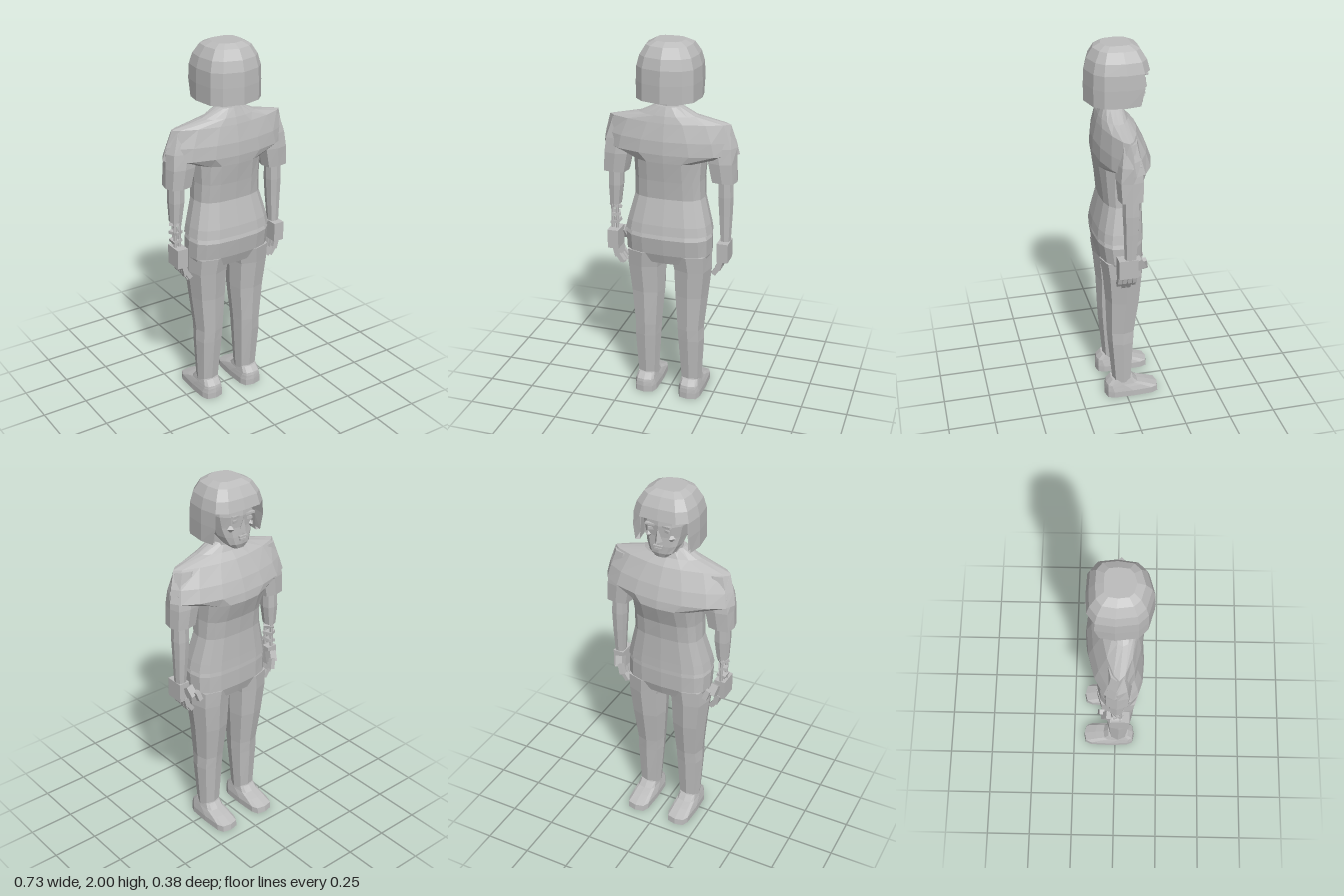
import * as THREE from 'three';

const grey = new THREE.MeshStandardMaterial({ color: 0xbcbcbc, flatShading: true, side: THREE.DoubleSide });
grey.name = 'grey';

function add(parent, name, geometry, x = 0, y = 0, z = 0, rx = 0, ry = 0, rz = 0) {
  const m = new THREE.Mesh(geometry, grey);
  m.name = name;
  m.position.set(x, y, z);
  m.rotation.set(rx, ry, rz);
  parent.add(m);
  return m;
}

// Rounded (p < 1) or pointed (p > 1) cross-section at height y
function ring(y, cx, hx, zMin, zMax, p = 0.7, n = 12) {
  const zm = (zMin + zMax) / 2, hz = (zMax - zMin) / 2, pts = [];
  for (let i = 0; i < n; i++) {
    const a = (i / n) * Math.PI * 2, c = Math.cos(a), s = Math.sin(a);
    pts.push([cx + hx * Math.sign(c) * Math.abs(c) ** p, y, zm + hz * Math.sign(s) * Math.abs(s) ** p]);
  }
  return pts;
}

// Faceted skin over rising rings; closed rings get end caps
function loft(rings, closed = true) {
  const v = [], n = rings[0].length;
  for (let i = 0; i < rings.length - 1; i++) {
    for (let j = 0; j < (closed ? n : n - 1); j++) {
      const k = (j + 1) % n, a = rings[i][j], b = rings[i + 1][j], c = rings[i][k], d = rings[i + 1][k];
      v.push(...a, ...b, ...c, ...c, ...b, ...d);
    }
  }
  if (closed) {
    const lo = rings[0], hi = rings[rings.length - 1];
    for (let j = 1; j < n - 1; j++) {
      v.push(...lo[0], ...lo[j], ...lo[j + 1], ...hi[0], ...hi[j + 1], ...hi[j]);
    }
  }
  const g = new THREE.BufferGeometry();
  g.setAttribute('position', new THREE.Float32BufferAttribute(v, 3));
  g.computeVertexNormals();
  return g;
}
const body = (rows, p, n) => loft(rows.map(r => ring(...r.slice(0, 5), r[5] ?? p, n)));
const box = (x, y, z) => new THREE.BoxGeometry(x, y, z);

// Bobbed hair: closed cap over the skull and a curtain round sides and back
function buildHair(head) {
  const half = [[0.105, 0.155], [0.15, 0.11], [0.165, 0.0], [0.152, -0.095], [0.1, -0.135]];
  const outline = [[0, -0.14], ...half.slice().reverse(), [0, 0.185], ...half.map(([x, z]) => [-x, z])];
  const at = (y, s, pts = outline) => pts.map(([x, z]) => [x * s, y, 0.022 + (z - 0.022) * s]);
  add(head, 'hairCap', loft([at(1.875, 0.98), at(1.93, 0.89), at(1.98, 0.7), at(2, 0.46)]));
  const sides = outline.slice(2, 11);
  const swept = sides.map(([x, z], i) => [x, i === 0 || i === 8 ? -0.075 : z]);
  const inner = swept.map(([x, z]) => [x * 0.9, 0.01 + (z - 0.01) * 0.9]);
  add(head, 'hairCurtain', loft([at(1.875, 0.9, inner), at(1.71, 0.97, inner), at(1.71, 1, swept),
    at(1.8, 1, sides), at(1.875, 0.98, sides)], false));
}

function buildHead(root) {
  const head = new THREE.Group();
  head.name = 'head';
  root.add(head);
  add(head, 'neck', body([
    [1.58, 0, 0.075, -0.035, 0.09], [1.66, 0, 0.062, -0.025, 0.072], [1.76, 0, 0.06, -0.025, 0.07]], 0.8, 8));
  add(head, 'face', body([
    [1.665, 0, 0.035, -0.108, -0.06], [1.69, 0, 0.068, -0.118, -0.01], [1.73, 0, 0.09, -0.12, 0.05],
    [1.78, 0, 0.105, -0.118, 0.1], [1.84, 0, 0.118, -0.122, 0.12], [1.9, 0, 0.115, -0.115, 0.12]], 0.8, 12));
  const nose = new THREE.ConeGeometry(0.026, 0.075, 4);
  nose.scale(0.8, 1, 1.1);
  add(head, 'nose', nose, 0, 1.795, -0.122, -0.15);
  add(head, 'upperLip', box(0.05, 0.009, 0.018), 0, 1.732, -0.12);
  add(head, 'lowerLip', box(0.04, 0.01, 0.016), 0, 1.717, -0.118);
  for (const s of [1, -1]) {
    add(head, 'eye', box(0.036, 0.014, 0.01), s * 0.042, 1.817, -0.113, 0, s * 0.3);
    add(head, 'brow', box(0.05, 0.01, 0.018), s * 0.045, 1.842, -0.116, 0, s * 0.3, s * 0.12);
    add(head, 'cheek', new THREE.OctahedronGeometry(0.024), s * 0.06, 1.78, -0.1);
  }
  buildHair(head);
}

// Hand with thick palm, four curled fingers and a thumb
function buildHand(arm, s) {
  const hand = new THREE.Group();
  hand.name = 'hand';
  arm.add(hand);
  add(hand, 'palm', box(0.06, 0.105, 0.1), s * 0.303, 0.9, 0.03);
  for (let i = 0; i < 4; i++) {
    const z = 0.066 - i * 0.026, drop = i === 0 || i === 3 ? 0.01 : 0;
    add(hand, 'fingerBase', box(0.028, 0.06, 0.022), s * 0.287, 0.83, z, 0, 0, -s * 0.25);
    add(hand, 'fingerTip', box(0.024, 0.055 - drop, 0.02), s * 0.265, 0.782 + drop, z, 0, 0, -s * 0.6);
  }
  add(hand, 'thumbBase', box(0.04, 0.06, 0.045), s * 0.282, 0.905, -0.037, 0.5, 0, -s * 0.2);
  add(hand, 'thumbTip', box(0.026, 0.055, 0.026), s * 0.255, 0.885, -0.072, 0.2, 0, -s * 0.3);
}

function buildArm(root, s) {
  const arm = new THREE.Group();
  arm.name = s > 0 ? 'leftArm' : 'rightArm';
  root.add(arm);
  add(arm, 'sleeve', body([
    [1.285, s * 0.294, 0.066, -0.05, 0.078, 0.55], [1.39, s * 0.28, 0.076, -0.055, 0.085, 0.6],
    [1.47, s * 0.265, 0.09, -0.05, 0.08, 0.8], [1.58, s * 0.25, 0.07, -0.03, 0.06, 1]], 0.7, 8));
  if (s > 0) {
    add(arm, 'forearm', body([
      [0.93, s * 0.305, 0.026, -0.015, 0.045], [1.1, s * 0.302, 0.036, -0.028, 0.05],
      [1.2, s * 0.3, 0.041, -0.032, 0.055], [1.3, s * 0.298, 0.038, -0.03, 0.055]], 0.7, 8));
  } else {
    // Forearm ending in an exposed frame of rods and joints
    add(arm, 'elbow', body([
      [1.09, s * 0.305, 0.03, -0.022, 0.045], [1.2, s * 0.3, 0.04, -0.032, 0.055],
      [1.3, s * 0.298, 0.038, -0.03, 0.055]], 0.7, 8));
    for (const [dx, z] of [[-0.012, 0.03], [0.012, 0.03], [0, -0.008]]) {
      add(arm, 'rod', new THREE.CylinderGeometry(0.009, 0.009, 0.17, 6), s * 0.306 + dx, 1.02, z);
    }
    for (let i = 0; i < 3; i++) {
      add(arm, 'joint', box(0.048, 0.016, 0.055), s * 0.306, 0.985 + i * 0.045, 0.013, 0, i * 0.4, 0.25 - i * 0.25);
    }
  }
  buildHand(arm, s);
}

function buildLeg(root, s) {
  const leg = new THREE.Group();
  leg.name = s > 0 ? 'leftLeg' : 'rightLeg';
  root.add(leg);
  add(leg, 'trouserLeg', body([
    [0.09, s * 0.125, 0.058, -0.035, 0.07], [0.35, s * 0.123, 0.074, -0.05, 0.095],
    [0.42, s * 0.12, 0.074, -0.055, 0.1], [0.62, s * 0.122, 0.092, -0.082, 0.107],
    [0.78, s * 0.128, 0.104, -0.095, 0.122], [0.87, s * 0.12, 0.112, -0.1, 0.135]], 0.75, 8));
  add(leg, 'shoe', body([
    [0, s * 0.127, 0.066, -0.19, 0.115], [0.035, s * 0.127, 0.066, -0.186, 0.115],
    [0.06, s * 0.127, 0.06, -0.12, 0.112], [0.075, s * 0.127, 0.056, -0.07, 0.108],
    [0.105, s * 0.126, 0.05, -0.042, 0.08]], 0.5, 12));
}

export function createModel() {
  const root = new THREE.Group();
  root.name = 'figure';

  // Shirt: waisted torso flaring into lens-shaped shoulders
  add(root, 'shirt', body([
    [0.99, 0, 0.235, -0.105, 0.152], [1.04, 0, 0.225, -0.103, 0.145], [1.18, 0, 0.188, -0.1, 0.112],
    [1.28, 0, 0.184, -0.112, 0.122], [1.385, 0, 0.19, -0.148, 0.138, 0.75], [1.43, 0, 0.365, -0.142, 0.142, 1.05],
    [1.5, 0, 0.35, -0.118, 0.138, 1.1], [1.59, 0, 0.322, -0.072, 0.12, 1.3],
    [1.625, 0, 0.16, -0.035, 0.11, 1.05], [1.67, 0, 0.068, -0.015, 0.092, 0.9]], 0.7, 16));

  // Trouser seat
  add(root, 'trouserSeat', body([
    [0.815, 0, 0.215, -0.085, 0.115], [0.87, 0, 0.232, -0.102, 0.135],
    [0.965, 0, 0.233, -0.103, 0.15], [1.0, 0, 0.22, -0.1, 0.14]], 0.7, 16));

  for (const s of [1, -1]) {
    buildArm(root, s);
    buildLeg(root, s);
  }
  buildHead(root);
  return root;
}
